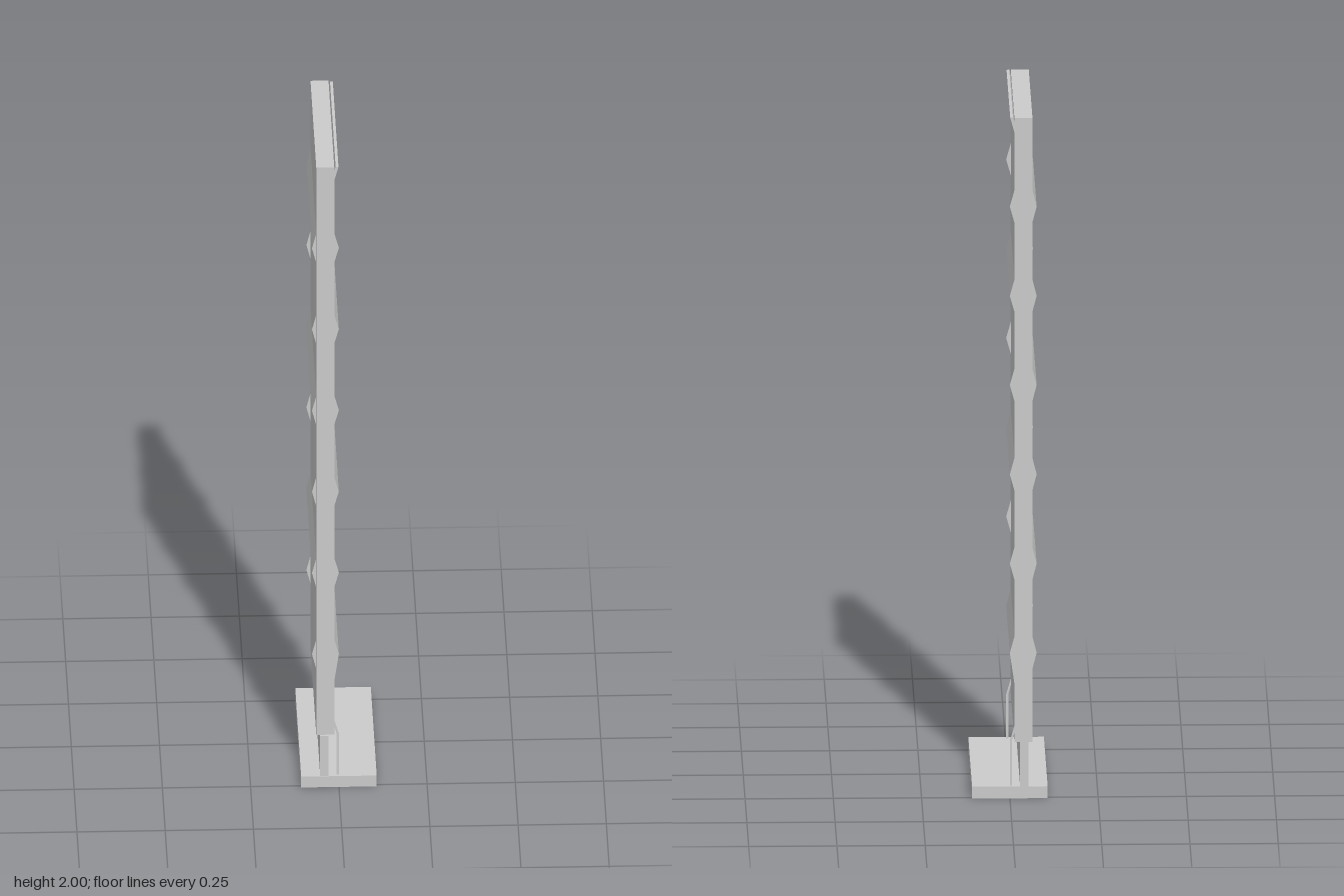
import * as THREE from 'three';

const material = new THREE.MeshStandardMaterial({ color: 0xcccccc, flatShading: true });

function box(name, [x0, x1], [y0, y1], [z0, z1]) {
  const mesh = new THREE.Mesh(new THREE.BoxGeometry(x1 - x0, y1 - y0, z1 - z0), material);
  mesh.position.set((x0 + x1) / 2, (y0 + y1) / 2, (z0 + z1) / 2);
  mesh.name = name;
  return mesh;
}

// Solid with an outline in x and y, running along z
function prism(name, outline, z0, z1) {
  const shape = new THREE.Shape(outline.map(([x, y]) => new THREE.Vector2(x, y)));
  const geometry = new THREE.ExtrudeGeometry(shape, { depth: z1 - z0, bevelEnabled: false });
  const mesh = new THREE.Mesh(geometry, material);
  mesh.position.z = z0;
  mesh.name = name;
  return mesh;
}

export function createModel() {
  const group = new THREE.Group();
  const end = 0.25, trim = 0.004;

  // Thin copies of an outline at the front and back ends
  const addEnds = (name, outline) => group.add(
    prism(name, outline, end - trim, end),
    prism(name, outline, -end, -end + trim));

  // Foot, the narrow plate standing on it, and the tall board
  group.add(box('base', [-0.107, 0.107], [0, 0.035], [-0.26, 0.26]));
  group.add(box('lowerPlate', [-0.053, -0.029], [0.035, 0.165], [-0.259, 0.259]));
  group.add(box('board', [-0.064, -0.013], [0.165, 2], [-0.257, 0.252]));

  // Folds on both faces: full-width ridges alternate with trims at the ends only
  const pitch = 0.2625, half = 0.047;
  const faces = [
    { name: 'left', surface: -0.013, peak: 0, fullWidth: 0 },
    { name: 'right', surface: -0.064, peak: -0.076, fullWidth: 1 },
  ];
  for (const { name, surface, peak, fullWidth } of faces) {
    for (let i = 1; i <= 6; i++) {
      const y = 2 - i * pitch;
      // The lowest ridge on the left face tapers out more slowly
      const lower = name === 'left' && i === 6 ? 0.09 : half;
      const outline = [[surface, y + half], [surface, y - lower], [peak, y]];
      if (i % 2 === fullWidth) group.add(prism(name + 'Ridge', outline, -end, end));
      else addEnds(name + 'EndTrim', outline);
    }
  }

  // Half ridge standing slightly off the board at the top edge
  group.add(prism('topRidge', [[-0.009, 2], [-0.013, 1.985], [-0.013, 1.955], [-0.001, 2]], -end, end));

  // Thin struts from the board down to the foot
  addEnds('strut', [
    [-0.013, 0.21], [-0.013, 0.19], [-0.006, 0.165], [-0.006, 0.035], [0, 0.035], [0, 0.165],
  ]);

  return group;
}
